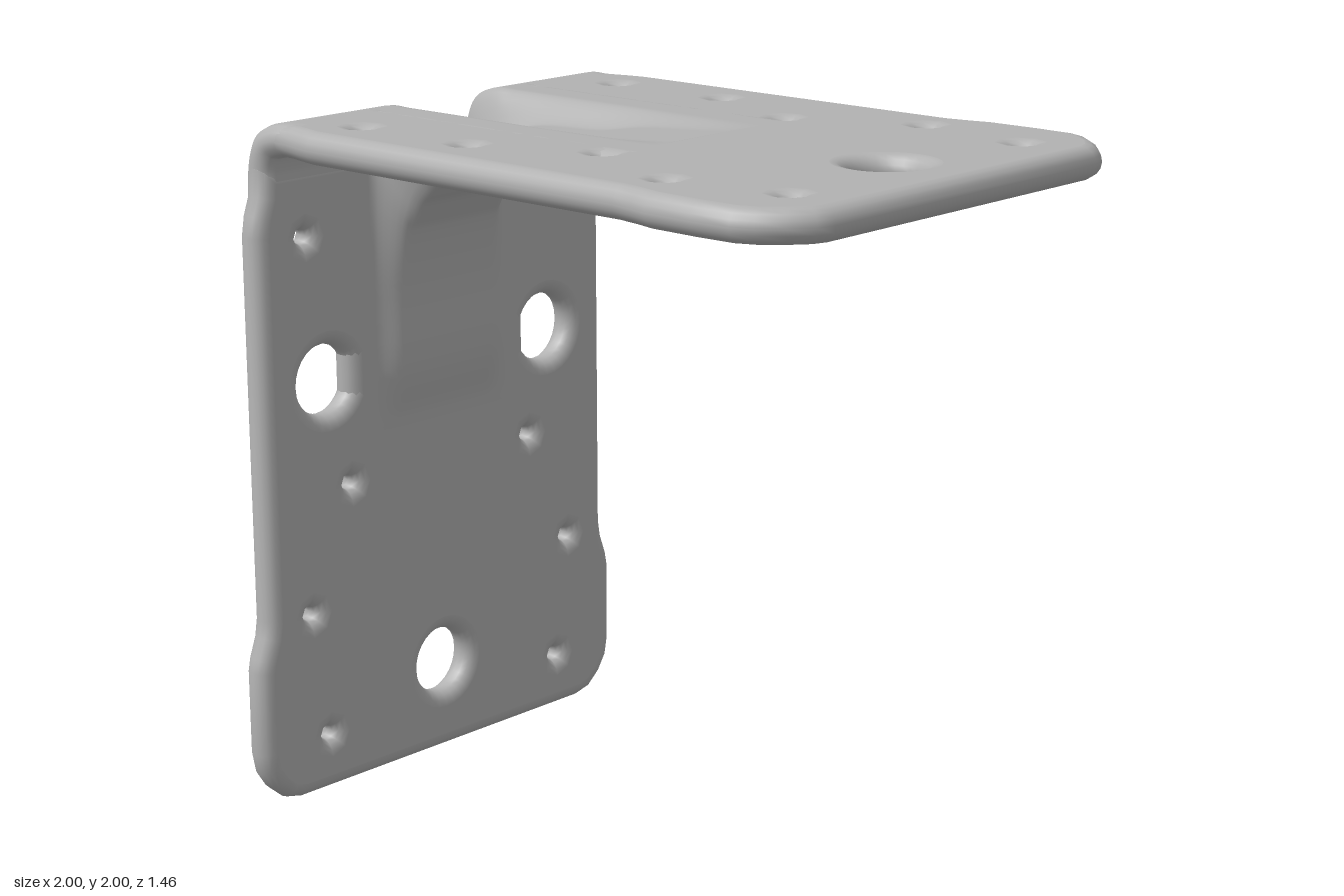
import * as THREE from 'three';
import { toCreasedNormals } from 'three/addons/utils/BufferGeometryUtils.js';

const H = 0.046; // half of the sheet thickness
const steel = new THREE.MeshStandardMaterial({ color: 0xb2b2b2, side: THREE.DoubleSide });
steel.name = 'steel grey';

// Middle line of the flat sheet, going up the leg, round the bend and along the shelf
const flatLine = curve([
  [-0.954, 1.05], [-0.954, 1.1], [-0.954, 1.23], [-0.954, 1.48], [-0.954, 1.7],
  [-0.954, 1.8], [-0.954, 1.87], [-0.93, 1.93], [-0.87, 1.954], [-0.8, 1.954],
  [-0.62, 1.954], [-0.36, 1.954], [-0.2, 1.954], [0, 1.954], [0.15, 1.954],
]);
// Middle line of the pressed rib floor, point for point beside the flat line
const ribLine = curve([
  [-0.954, 1.05], [-0.95, 1.1], [-0.925, 1.23], [-0.918, 1.48], [-0.888, 1.65],
  [-0.862, 1.7], [-0.83, 1.75], [-0.8, 1.78], [-0.765, 1.813], [-0.72, 1.845],
  [-0.62, 1.882], [-0.36, 1.9], [-0.2, 1.925], [0, 1.94], [0.15, 1.954],
]);

function curve(points) {
  return new THREE.CatmullRomCurve3(points.map(([x, y]) => new THREE.Vector3(x, y, 0)));
}

// Sheet swept along the lines from t0 to t1, between z0 and z1, with round edges
function sweptSheet(name, z0, z1, t0, t1, uSteps, zSteps) {
  const loop = []; // [z, offset across the sheet]
  for (const side of [1, -1]) {
    const a = side > 0 ? z0 + H : z1 - H, b = side > 0 ? z1 - H : z0 + H;
    for (let j = 0; j <= zSteps; j++) loop.push([a + (b - a) * j / zSteps, side * H]);
    for (let k = 1; k < 6; k++) {
      const ang = k / 6 * Math.PI;
      loop.push([b + side * H * Math.sin(ang), side * H * Math.cos(ang)]);
    }
  }
  const positions = [], index = [], m = loop.length;
  for (let i = 0; i <= uSteps; i++) {
    const t = t0 + (t1 - t0) * i / uSteps;
    const p = flatLine.getPoint(t), q = ribLine.getPoint(t);
    const tp = flatLine.getTangent(t), tq = ribLine.getTangent(t);
    loop.forEach(([z, n], j) => {
      // rib walls stand further out on the inner face than on the outer one
      const shift = n / H * 0.03;
      const w = 1 - THREE.MathUtils.smoothstep(Math.abs(z), 0.135 - shift, 0.245 - shift);
      const c = p.clone().lerp(q, w), d = tp.clone().lerp(tq, w).normalize();
      positions.push(c.x - d.y * n, c.y + d.x * n, z);
      if (i < uSteps) {
        const a = i * m + j, b = i * m + (j + 1) % m;
        index.push(a, b, a + m, b, b + m, a + m);
      }
    });
  }
  const geo = new THREE.BufferGeometry();
  geo.setAttribute('position', new THREE.Float32BufferAttribute(positions, 3));
  geo.setIndex(index);
  geo.computeVertexNormals();
  const mesh = new THREE.Mesh(geo, steel);
  mesh.name = name;
  return mesh;
}

// Flat plate from half an outline, mirrored; holes are [across, along, radius]
function plate(name, half, holes, place) {
  const pt = place.swap ? (a, l) => new THREE.Vector2(l, a) : (a, l) => new THREE.Vector2(a, l);
  const outline = [
    ...half.map(([a, l]) => pt(a, l)),
    ...half.slice().reverse().map(([a, l]) => pt(-a, l)),
  ];
  const shape = new THREE.Shape(outline);
  for (const [a, l, r] of holes) {
    const c = pt(a, l), sides = r > 0.05 ? 28 : 8, ring = [];
    for (let k = 0; k < sides; k++) {
      const ang = k / sides * Math.PI * 2;
      ring.push(new THREE.Vector2(c.x + r * Math.cos(ang), c.y + r * Math.sin(ang)));
    }
    shape.holes.push(new THREE.Path(ring));
  }
  const raw = new THREE.ExtrudeGeometry(shape, {
    depth: 0.002, bevelThickness: H - 0.001, bevelSize: H - 0.001,
    bevelOffset: -(H - 0.001), bevelSegments: 4, steps: 1,
  });
  raw.translate(0, 0, -0.001);
  const geo = toCreasedNormals(raw, 0.9);
  // keep the two broad faces perfectly flat
  const p = geo.attributes.position, n = geo.attributes.normal;
  for (let i = 0; i < p.count; i += 3) {
    const s = Math.sign(p.getZ(i));
    if ([0, 1, 2].every((k) => s * p.getZ(i + k) > H - 0.0005)) {
      for (let k = 0; k < 3; k++) n.setXYZ(i + k, 0, 0, s);
    }
  }
  if (place.swap) geo.rotateX(-Math.PI / 2); else geo.rotateY(-Math.PI / 2);
  geo.translate(place.x, place.y, 0);
  const mesh = new THREE.Mesh(geo, steel);
  mesh.name = name;
  return mesh;
}

// Pairs of small screw holes either side of the middle
function screwHoles(list) {
  return list.flatMap(([a, l]) => [[a, l, 0.02], [-a, l, 0.02]]);
}

export function createModel() {
  const group = new THREE.Group();
  group.name = 'angleBracket';

  // Upright leg, notched at the top for the rib
  group.add(plate('uprightLeg', [
    [0.58, 0.005], [0.635, 0.018], [0.685, 0.06], [0.718, 0.11], [0.73, 0.17], [0.73, 0.42],
    [0.722, 0.46], [0.7, 0.52], [0.692, 0.57], [0.692, 1.68], [0.682, 1.74], [0.664, 1.79],
    [0.66, 1.87], [0.25, 1.87], [0.25, 1.12],
  ], [
    [0.445, 1.235, 0.102], [-0.445, 1.235, 0.102], [0.01, 0.28, 0.098],
    ...screwHoles([[0.515, 1.66], [0.365, 0.915], [0.53, 0.555], [0.475, 0.175]]),
  ], { x: -0.954, y: 0 }));

  // Top shelf, notched at the bend end for the rib
  group.add(plate('topShelf', [
    [0.54, 1], [0.59, 0.985], [0.645, 0.94], [0.695, 0.88], [0.72, 0.82], [0.724, 0.7],
    [0.72, 0.55], [0.705, 0.49], [0.692, 0.42], [0.69, -0.7], [0.68, -0.75], [0.664, -0.81],
    [0.66, -0.86], [0.25, -0.86], [0.25, 0.08],
  ], [
    [0.01, 0.72, 0.1],
    ...screwHoles([[0.51, -0.67], [0.51, -0.265], [0.365, 0.085], [0.53, 0.45], [0.475, 0.805]]),
  ], { x: 0, y: 1.954, swap: true }));

  // Pressed stiffening rib through the bend
  group.add(sweptSheet('stiffeningRib', -0.36, 0.36, 0, 1, 84, 48));

  // Rounded bends on both sides of the rib
  group.add(sweptSheet('leftBend', 0.25, 0.66, 5 / 14, 9 / 14, 24, 10));
  group.add(sweptSheet('rightBend', -0.66, -0.25, 5 / 14, 9 / 14, 24, 10));
  return group;
}
